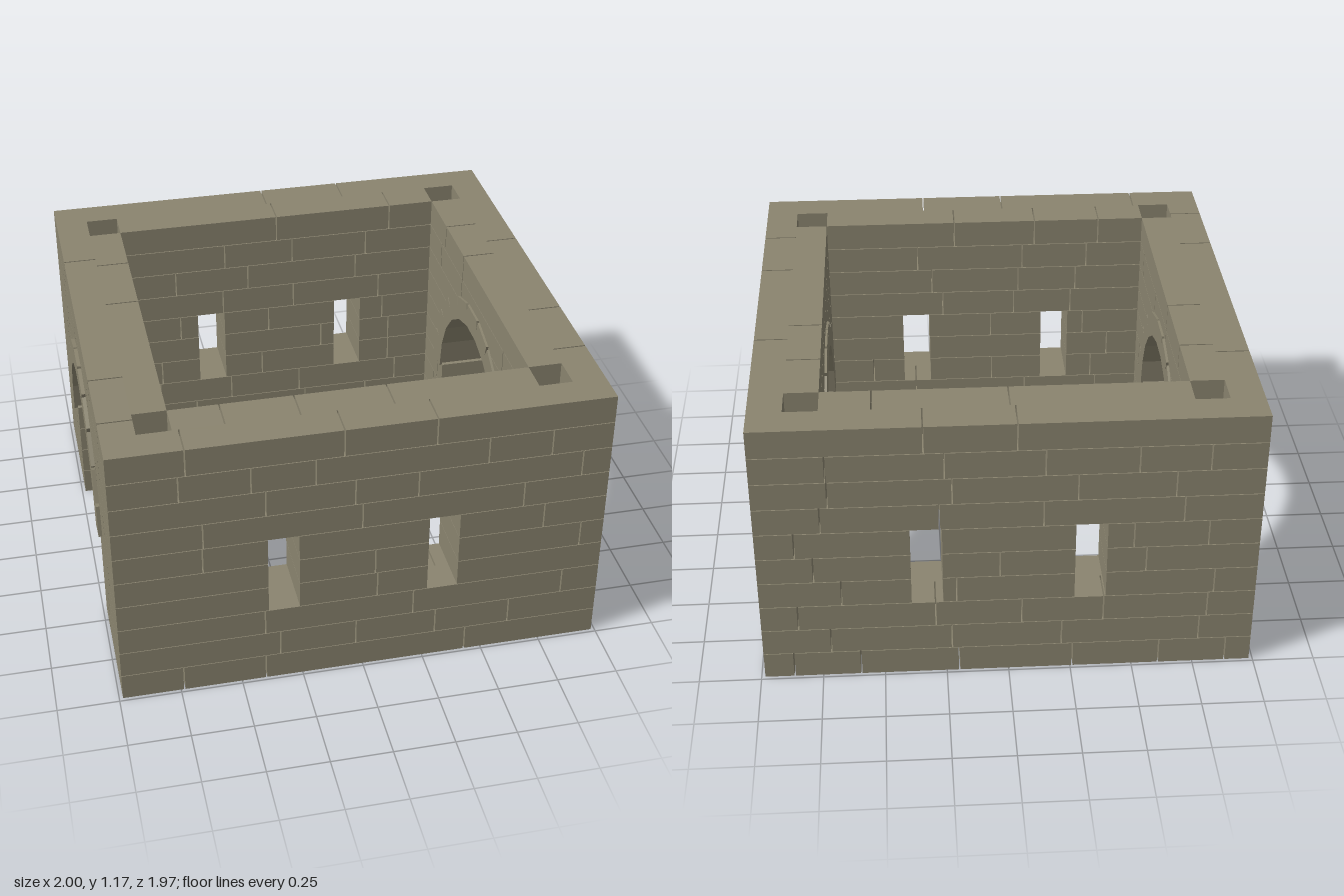
import * as THREE from 'three';
import { mergeGeometries } from 'three/addons/utils/BufferGeometryUtils.js';

const COURSE = 0.1175, COURSES = 10;
const OUT = 0.985, MID = 0.85, INN = 0.715;   // wall faces, measured from the centre
const DOOR = 0.425, SPRING = 0.47, CUT = 0.49; // archway
const GAP_V = 0.006, GAP_H = 0.003;            // mortar gaps
const WINDOWS = [[-0.385, -0.26], [0.26, 0.385]];

// vertical joint positions per course, bottom to top
const FRONT = [
  [-0.735, -0.4, 0.43], [-0.34, -0.03, 0.3, 0.61], [-0.4, 0.205, 0.83], [0.055],
  [0.045, 0.89], [-0.64, 0.73], [-0.635, -0.01, 0.64], [-0.39, -0.04, 0.21, 0.87],
  [-0.72, -0.445, -0.195, 0.485, 0.74], [-0.69, -0.085, 0.275],
];
const SIDE = [
  [-0.585], [-0.585], [-0.565], [-0.595, 0.695], [0.685], [-0.56, 0.745],
  [-0.53, 0.68], [-0.51, 0.57], [-0.205], [-0.61, -0.3, 0.3],
];

function seeded(seed) {
  return () => (seed = (seed * 16807) % 2147483647) / 2147483647;
}

// irregular joints for the remaining wall faces
function randomJoints(seed, half, top) {
  const rnd = seeded(seed);
  const rows = [];
  for (let i = 0; i < COURSES; i++) {
    const row = [];
    for (let u = -half + 0.12 + rnd() * 0.25; u < half - 0.1; u += 0.26 + rnd() * 0.36) row.push(u);
    rows.push(row);
  }
  rows[COURSES - 1] = top;
  return rows;
}

// one stone: a flat outline (along, up) extruded through the wall
function stone(points, w0, w1) {
  const shape = new THREE.Shape(points.map(([u, y]) => new THREE.Vector2(u, y)));
  return new THREE.ExtrudeGeometry(shape, { depth: w1 - w0, bevelEnabled: false }).translate(0, 0, w0);
}

// inner edge of the wall at a given height beside the archway
function archEdge(y) {
  if (y <= SPRING) return DOOR;
  return Math.sqrt(Math.max(0, CUT * CUT - (y - SPRING) ** 2));
}

// one layer of coursed stones, with window or archway openings
function wallLayer(half, w0, w1, joints, isSide) {
  const parts = [];
  for (let i = 0; i < COURSES; i++) {
    const y0 = i * COURSE;
    const y1 = y0 + COURSE - (i < COURSES - 1 ? GAP_H : 0);
    let spans = [[-half, half]];
    const arched = isSide && i < 8;
    if (arched) {
      const e = archEdge(y1);
      spans = [[-half, -e], [e, half]];
    } else if (!isSide && i >= 3 && i <= 5) {
      spans = [[-half, WINDOWS[0][0]], [WINDOWS[0][1], WINDOWS[1][0]], [WINDOWS[1][1], half]];
    }
    for (const [s, e] of spans) {
      const edge = archEdge(y0);
      const cuts = joints[i].filter((j) =>
        j > s + 0.05 && j < e - 0.05 && (!arched || Math.abs(j) > edge + 0.04));
      const ends = [s, ...cuts, e];
      for (let k = 0; k < ends.length - 1; k++) {
        const a = ends[k] + (k > 0 ? GAP_V / 2 : 0);
        const b = ends[k + 1] - (k < ends.length - 2 ? GAP_V / 2 : 0);
        const pts = [];
        if (arched && (a === s ? s > 0 : false)) {
          // stone whose start follows the arch
          pts.push([b, y0], [b, y1]);
          for (let n = 4; n >= 0; n--) {
            const y = y0 + (y1 - y0) * n / 4;
            pts.push([archEdge(y), y]);
          }
        } else if (arched && b === e && e < 0) {
          // stone whose end follows the arch
          pts.push([a, y1], [a, y0]);
          for (let n = 0; n <= 4; n++) {
            const y = y0 + (y1 - y0) * n / 4;
            pts.push([-archEdge(y), y]);
          }
        } else {
          pts.push([a, y0], [b, y0], [b, y1], [a, y1]);
        }
        parts.push(stone(pts, w0, w1));
      }
    }
  }
  return mergeGeometries(parts);
}

// eleven straight blocks set around the half circle
function archRing() {
  const count = 11, parts = [];
  for (let i = 0; i < count; i++) {
    const angle = ((i + 0.5) / count - 0.5) * Math.PI;
    const g = new THREE.BoxGeometry(0.139, 0.103, 0.295);
    g.translate(0, 0.4815, 0).rotateZ(angle).translate(0, SPRING, 0.8525);
    parts.push(g);
  }
  return mergeGeometries(parts);
}

export function createModel() {
  const model = new THREE.Group();
  model.name = 'stoneGatehouse';
  const masonry = new THREE.MeshStandardMaterial({ color: 0x8a846f });
  masonry.name = 'grey brown stone';

  const add = (parent, name, geometry) => {
    const mesh = new THREE.Mesh(geometry, masonry);
    mesh.name = name;
    parent.add(mesh);
  };

  // joints of each wall run along its own left-to-right axis seen from outside
  const walls = [
    { name: 'frontWall', turn: 0, outer: FRONT, inner: randomJoints(11, INN, [-0.515, -0.225, 0.14]) },
    { name: 'backWall', turn: Math.PI, outer: randomJoints(23, OUT, [-0.325, 0.03]),
      inner: randomJoints(37, INN, [-0.515, 0.01]) },
    { name: 'leftWall', turn: Math.PI / 2, side: true, outer: SIDE,
      inner: randomJoints(41, INN, [0.19, 0.465]) },
    { name: 'rightWall', turn: -Math.PI / 2, side: true, outer: randomJoints(59, MID, [-0.5, 0.45, 0.75]),
      inner: randomJoints(67, INN, [-0.44, -0.11]) },
  ];

  for (const w of walls) {
    const wall = new THREE.Group();
    wall.name = w.name;
    wall.rotation.y = w.turn;
    // side walls fit between the front and back; the inner layer leaves open corner shafts
    add(wall, 'outerStones', wallLayer(w.side ? MID : OUT, MID, OUT, w.outer, w.side));
    add(wall, 'innerStones', wallLayer(INN, INN, MID, w.inner, w.side));
    if (w.side) add(wall, 'archStones', archRing());
    model.add(wall);
  }
  return model;
}
